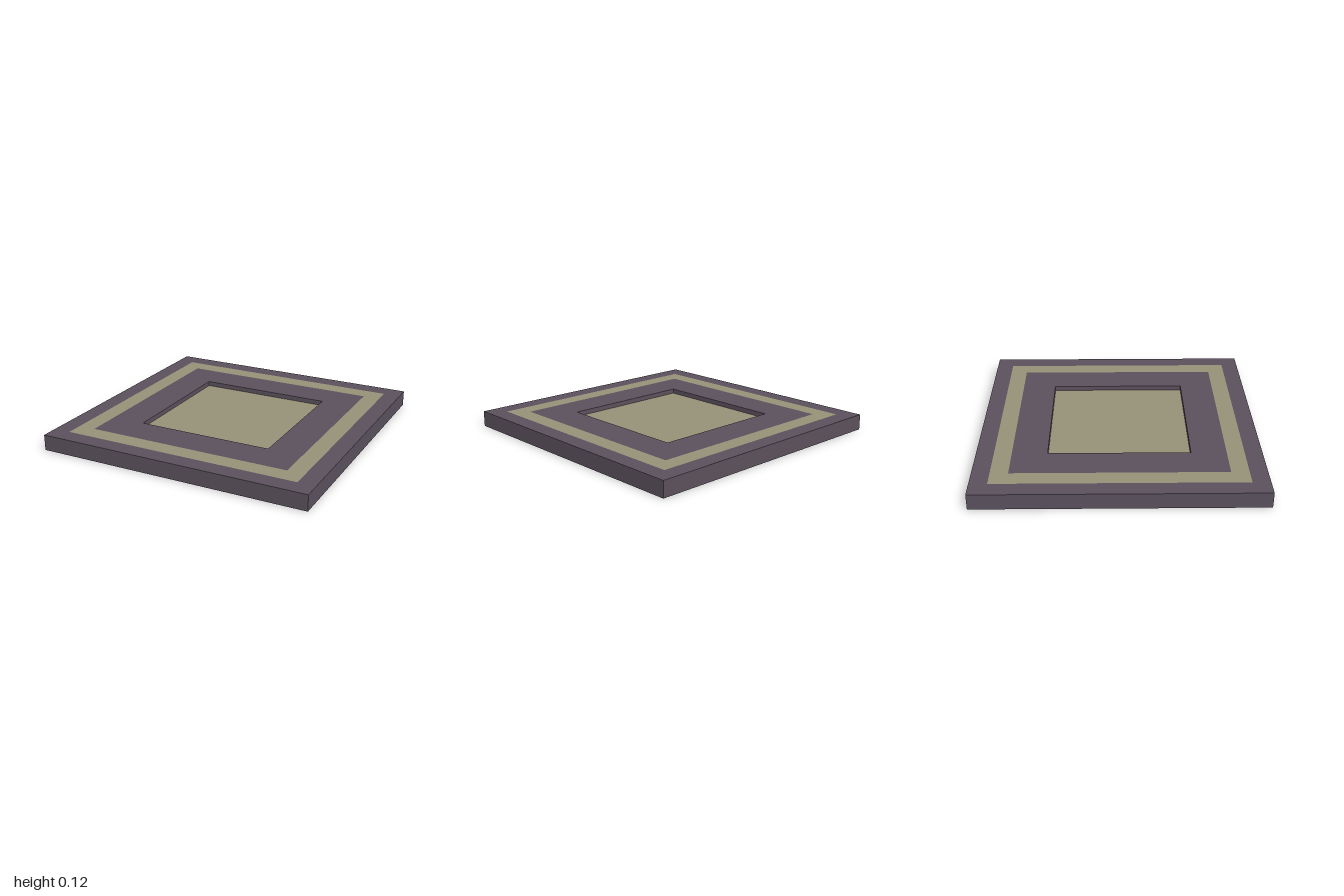
import * as THREE from 'three';

const HEIGHT = 0.115, FLOOR = 0.08;

// Square outline with the given half width
function square(half, PathType) {
  return new PathType([[-1, -1], [1, -1], [1, 1], [-1, 1]].map(([x, y]) => new THREE.Vector2(x * half, y * half)));
}

// Flat horizontal square, optionally with a square opening
function panel(name, material, y, outer, inner = 0, facing = 1) {
  const shape = square(outer, THREE.Shape);
  if (inner) shape.holes.push(square(inner, THREE.Path));
  const mesh = new THREE.Mesh(new THREE.ShapeGeometry(shape), material);
  mesh.name = name;
  mesh.rotation.x = -facing * Math.PI / 2;
  mesh.position.y = y;
  return mesh;
}

// Four upright walls around a square
function walls(name, material, half, y0, y1) {
  const r = half * Math.SQRT2;
  const geometry = new THREE.CylinderGeometry(r, r, y1 - y0, 4, 1, true, Math.PI / 4);
  const mesh = new THREE.Mesh(geometry, material);
  mesh.name = name;
  mesh.position.y = (y0 + y1) / 2;
  return mesh;
}

export function createModel() {
  const dark = new THREE.MeshStandardMaterial({ color: 0x5a505c, flatShading: true });
  const darkInside = dark.clone();
  darkInside.side = THREE.BackSide;
  const tan = new THREE.MeshStandardMaterial({ color: 0x959178, flatShading: true });

  const group = new THREE.Group();
  group.name = 'floorTile';
  group.add(
    // Slab
    walls('slabSides', dark, 1, 0, HEIGHT),
    panel('slabBottom', dark, 0, 1, 0, -1),
    // Concentric bands on the top, flush with one another
    panel('outerBorder', dark, HEIGHT, 1, 0.875),
    panel('inlayBand', tan, HEIGHT, 0.875, 0.75),
    panel('innerBorder', dark, HEIGHT, 0.75, 0.5),
    // Sunken centre
    walls('recessSides', darkInside, 0.5, FLOOR, HEIGHT),
    panel('recessFloor', tan, FLOOR, 0.5),
  );
  return group;
}
